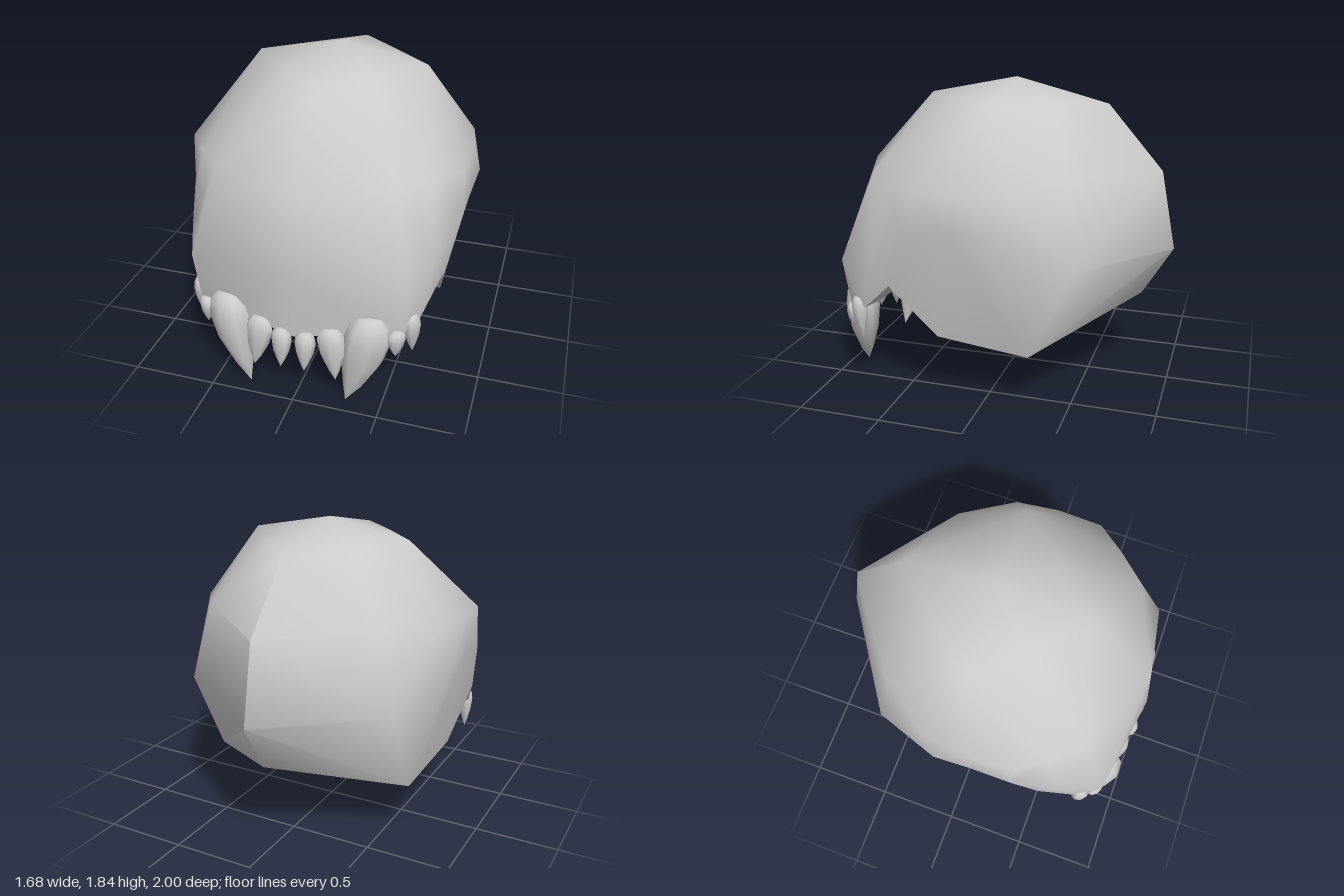
import * as THREE from 'three';
import { toCreasedNormals } from 'three/addons/utils/BufferGeometryUtils.js';

const CREASE = THREE.MathUtils.degToRad(63);

// Half cross-sections from crown to rim, each running front -> left side -> back.
// Repeated points let columns merge: a diamond crown, a wide waist, a notched rim.
const CROWN = [0, 1.84, -0.02];
const CROWN_SIDE = [0.51, 1.74, -0.02];
const RIM_SIDE = [0.66, 0.34, -0.28];
const HALF_RINGS = [
  [[0, 1.73, 0.52], [0.26, 1.735, 0.26], CROWN_SIDE, CROWN_SIDE, CROWN_SIDE, CROWN_SIDE, [0.26, 1.72, -0.3], [0, 1.7, -0.58]],
  [[0, 1.3, 0.92], [0.52, 1.31, 0.7], [0.68, 1.3, 0.53], [0.81, 1.3, 0.36], [0.82, 1.3, 0.08], [0.78, 1.31, -0.18], [0.56, 1.35, -0.48], [0, 1.32, -0.91]],
  [[0, 0.8, 0.98], [0.62, 0.8, 0.88], [0.72, 0.86, 0.65], [0.82, 1.03, 0.37], [0.83, 1.08, 0.12], [0.84, 1.08, -0.11], [0.67, 0.88, -0.54], [0, 0.85, -1]],
  [[0, 0.43, 0.96], [0.6, 0.49, 0.84], [0.67, 0.53, 0.72], [0.755, 0.72, 0.52], [0.7, 0.42, 0.25], RIM_SIDE, RIM_SIDE, [0, 0.55, -0.82]],
];
// Inner edge of the thick rim
const INNER_SIDE = [0.54, 0.36, -0.26];
const INNER_RIM = [[0, 0.45, 0.89], [0.52, 0.5, 0.78], [0.56, 0.55, 0.66], [0.61, 0.71, 0.47], [0.56, 0.44, 0.27], INNER_SIDE, INNER_SIDE, [0, 0.55, -0.68]];

// Complete a half ring by mirroring it across x = 0.
const fullRing = half => [...half, ...half.slice(1, -1).reverse().map(([x, y, z]) => [-x, y, z])];

// Skin a stack of closed rings; equal corners are skipped.
function loft(rings, flip = false) {
  const pos = [];
  const same = (a, b) => a.every((v, i) => v === b[i]);
  const tri = (a, b, c) => {
    if (same(a, b) || same(b, c) || same(a, c)) return;
    pos.push(...a, ...(flip ? c : b), ...(flip ? b : c));
  };
  for (let r = 0; r < rings.length - 1; r++) {
    const n = rings[r].length;
    for (let c = 0; c < n; c++) {
      const d = (c + 1) % n;
      // diagonals mirror left to right and fan away from the back ridge
      if (c < n / 2 - 1 || c === n / 2) {
        tri(rings[r][c], rings[r + 1][c], rings[r + 1][d]);
        tri(rings[r][c], rings[r + 1][d], rings[r][d]);
      } else {
        tri(rings[r][c], rings[r + 1][c], rings[r][d]);
        tri(rings[r][d], rings[r + 1][c], rings[r + 1][d]);
      }
    }
  }
  const g = new THREE.BufferGeometry();
  g.setAttribute('position', new THREE.Float32BufferAttribute(pos, 3));
  return toCreasedNormals(g, CREASE);
}

// One tooth: bulging root, then a taper that bends towards its tip.
function toothGeometry({ top, tip, w, d, yaw, bend = 1.6 }) {
  const sides = 8;
  const profile = [[0, 0], [0.01, 0.5], [0.1, 0.86], [0.26, 1], [0.52, 0.84], [0.8, 0.42], [1, 0]];
  const rings = profile.map(([t, s]) => {
    const k = Math.pow(t, bend);
    const cx = top[0] + (tip[0] - top[0]) * k;
    const cy = top[1] + (tip[1] - top[1]) * t;
    const cz = top[2] + (tip[2] - top[2]) * k;
    return Array.from({ length: sides }, (_, i) => {
      if (s === 0) return [cx, cy, cz];
      const a = (i / sides) * Math.PI * 2;
      const u = Math.sin(a) * w * s / 2, v = Math.cos(a) * d * s / 2;
      return [cx + u * Math.cos(yaw) + v * Math.sin(yaw), cy, cz - u * Math.sin(yaw) + v * Math.cos(yaw)];
    });
  });
  return loft(rings);
}

const TEETH = [
  { name: 'innerIncisor', top: [0.07, 0.465, 0.95], tip: [0.07, 0.22, 0.985], w: 0.125, d: 0.1, yaw: 0.05 },
  { name: 'outerIncisor', top: [0.21, 0.5, 0.92], tip: [0.245, 0.17, 0.95], w: 0.165, d: 0.11, yaw: 0.12 },
  { name: 'canine', top: [0.42, 0.59, 0.865], tip: [0.29, 0.0, 0.91], w: 0.28, d: 0.21, yaw: 0.3, bend: 1.9 },
  { name: 'smallSideTooth', top: [0.57, 0.51, 0.85], tip: [0.565, 0.34, 0.855], w: 0.11, d: 0.08, yaw: 0.7 },
  { name: 'rearSideTooth', top: [0.635, 0.585, 0.775], tip: [0.64, 0.32, 0.755], w: 0.11, d: 0.09, yaw: 1.0 },
];

export function createModel() {
  const model = new THREE.Group();
  model.name = 'toothedSkullCap';
  const material = new THREE.MeshStandardMaterial({ color: 0xcccccc });
  const add = (name, geometry) => {
    const mesh = new THREE.Mesh(geometry, material);
    mesh.name = name;
    model.add(mesh);
  };

  // Outer dome
  const outer = HALF_RINGS.map(fullRing);
  outer.unshift(outer[0].map(() => CROWN));
  add('outerShell', loft(outer));

  // Hollow inside: thinner wall at the front, thicker at the sides and back
  const inner = outer.slice(0, -1).map(ring => ring.map(([x, y, z]) =>
    [x * 0.84, 0.9 + (y - 0.9) * 0.87, z * (z > 0 ? 0.91 : 0.84)]));
  inner.push(fullRing(INNER_RIM));
  add('innerShell', loft(inner, true));

  // Rim joining the two shells
  add('rim', loft([outer.at(-1), inner.at(-1)]));

  // Teeth on both sides
  for (const side of [1, -1]) {
    for (const tooth of TEETH) {
      const flipX = ([x, y, z]) => [x * side, y, z];
      add((side > 0 ? 'left ' : 'right ') + tooth.name,
        toothGeometry({ ...tooth, top: flipX(tooth.top), tip: flipX(tooth.tip), yaw: tooth.yaw * side }));
    }
  }
  return model;
}
